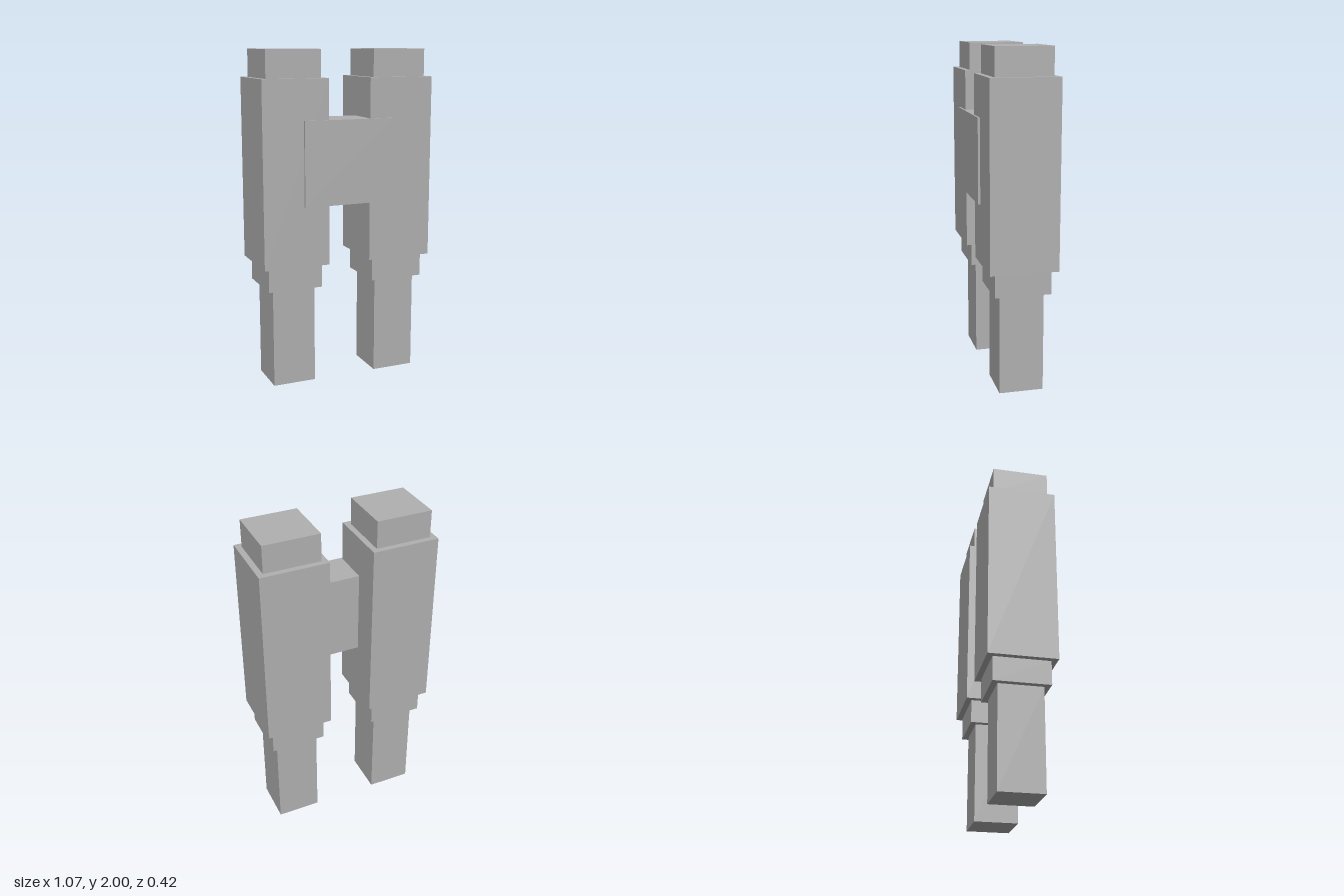
import * as THREE from 'three';

export function createModel() {
  const group = new THREE.Group();
  const grey = new THREE.MeshStandardMaterial({ color: 0xb0b0b0 });
  grey.name = 'plain grey';
  const midZ = -0.008;

  // Box given by its width, depth, and bottom and top heights
  function block(name, width, depth, y0, y1, x, z) {
    const mesh = new THREE.Mesh(new THREE.BoxGeometry(width, y1 - y0, depth), grey);
    mesh.name = name;
    mesh.position.set(x, (y0 + y1) / 2, z);
    return mesh;
  }

  // Two stepped square tubes
  for (const [side, sign] of [['left', 1], ['right', -1]]) {
    const tube = new THREE.Group();
    tube.name = side + 'Tube';
    tube.position.x = sign * 0.332;
    tube.add(
      block('lowerTube', 0.263, 0.263, 0, 0.6, 0, midZ),
      block('lowerCollar', 0.333, 0.333, 0.6, 0.743, 0, midZ),
      block('barrel', 0.403, 0.403, 0.743, 1.837, 0, midZ),
      block('upperCollar', 0.333, 0.333, 1.837, 2, 0, midZ)
    );
    group.add(tube);
  }

  // Bridge joining the tubes, standing slightly proud at the front
  group.add(block('bridge', 0.57, 0.239, 1.1, 1.6, 0, 0.0865));
  return group;
}
